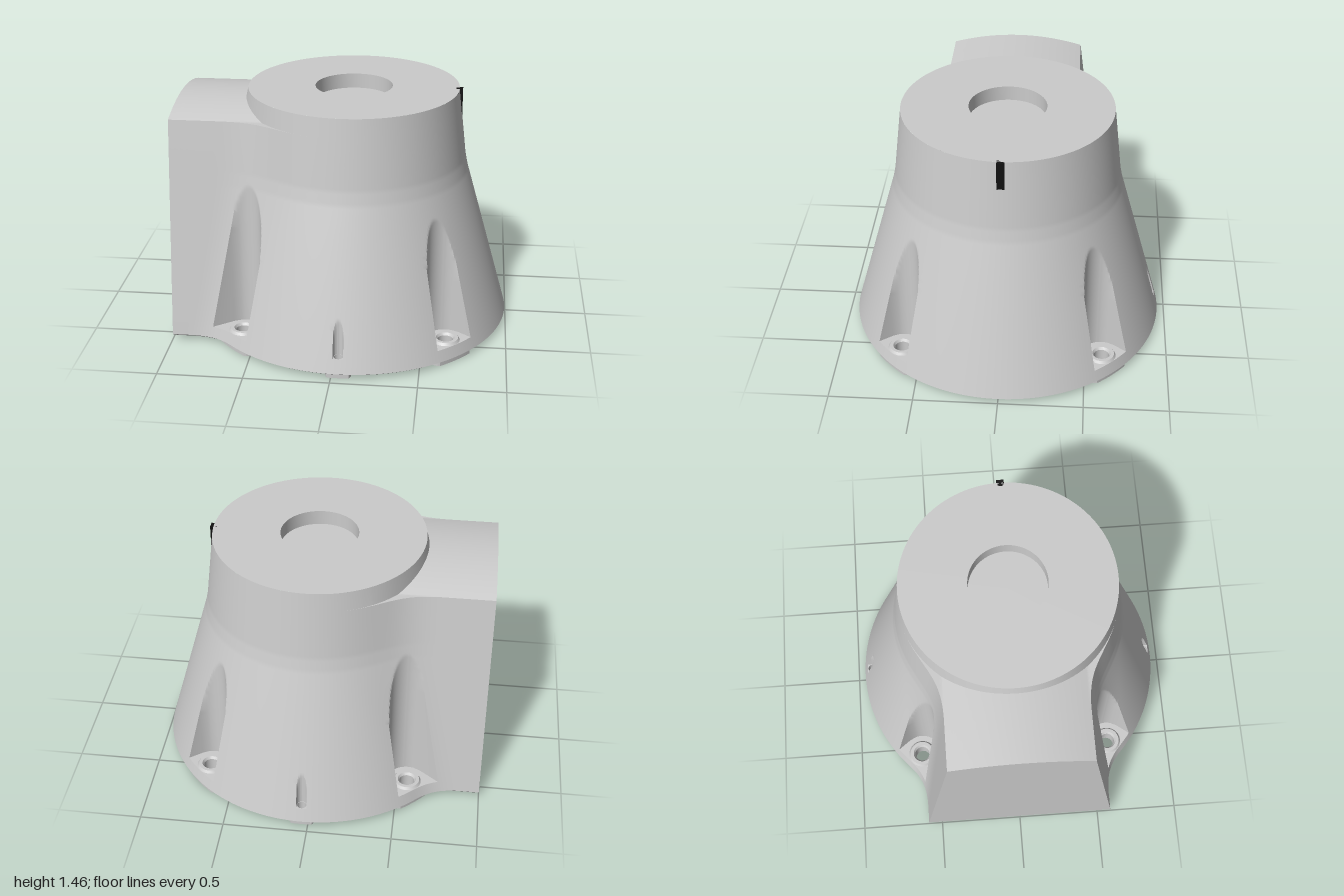
import * as THREE from 'three';
import { toCreasedNormals } from 'three/addons/utils/BufferGeometryUtils.js';

const CX = 0.04, BASE = 0.025, LEDGE = 1.34, TOP = 1.455, ARCH = 0.06;
const lerp = THREE.MathUtils.lerp;
const grey = new THREE.MeshStandardMaterial({ color: 0xcccccc });
const greyDouble = new THREE.MeshStandardMaterial({ color: 0xcccccc, side: THREE.DoubleSide });
const black = new THREE.MeshStandardMaterial({ color: 0x111111 });

// Vertical channels: angle from -x, distance from the axis, channel radius, floor height, bolt hole, foot radius
const bolt = (angle) => ({ angle, d: 0.85, r: 0.12, floor: 0.1, hole: 0.045, foot: 0.15 });
const pin = { angle: Math.PI / 2, d: 0.9, r: 0.03, floor: 0.115, hole: 0.027, foot: 0.075 };
const channels = [bolt(Math.PI / 4), pin, bolt(3 * Math.PI / 4)];

// Polar position around the body axis: angle 0 = -x, PI/2 = +z
const place = (a, r) => [CX - r * Math.cos(a), r * Math.sin(a)];

// Radius of the conical body
const cone = (y) => y < 0.96 ? lerp(0.957, 0.692, (y - BASE) / 0.935)
  : y < 1.04 ? lerp(0.692, 0.676, (y - 0.96) / 0.08) : lerp(0.676, 0.628, (y - 1.04) / (TOP - 1.04));
// Half width of the side housing and the angle of its outer corner
const halfWidth = (y) => lerp(0.585, 0.41, (y - BASE) / (LEDGE - BASE));
const corner = (y) => Math.atan2(halfWidth(Math.min(y, LEDGE)), 1 + CX);

// Cone and housing joined by a soft fillet
function outer(angle, y) {
  const a = Math.abs(angle), c = cone(y);
  if (a > Math.PI / 2) return c;
  const end = (1 + CX) / Math.cos(a);
  if (a <= corner(y) + 1e-6) return end;
  const side = halfWidth(y) / Math.sin(a), k = 0.15 + 0.05 * y;
  const h = Math.max(k - Math.abs(c - side), 0);
  return Math.min(end, Math.max(c, side) + h * h / (4 * k));
}

// Near wall of a channel along a ray
function channelWall(ch, angle) {
  const off = Math.abs(angle) - ch.angle, s = ch.d * Math.sin(off);
  return ch.d * Math.cos(off) - Math.sqrt(Math.max(0, ch.r * ch.r - s * s));
}

// Angular segments of one half, mirrored for the other
function makeSegments() {
  const half = [{ from: () => 0, to: corner, n: 14 }];
  let start = corner;
  for (const ch of channels) {
    const t = Math.asin(ch.r / ch.d), a = ch.angle - t, b = ch.angle + t;
    half.push({ from: start, to: () => a, n: 20 }, { from: () => a, to: () => b, n: ch === pin ? 12 : 28, ch });
    start = () => b;
  }
  half.push({ from: start, to: () => Math.PI, n: 18 });
  const mirrored = half.map((s) => ({ from: (y) => -s.to(y), to: (y) => -s.from(y), n: s.n, ch: s.ch })).reverse();
  return [...mirrored, ...half];
}
const columns = makeSegments().flatMap((s) => Array.from({ length: s.n + 1 }, (_, i) => ({
  ch: s.ch, last: i === s.n, angle: (y) => lerp(s.from(y), s.to(y), i / s.n),
})));

// Body skin: rows of rings, with the arched housing roof folded in
function bodyGeometry() {
  const rows = [];
  const wallRow = (y, inset = 0) => rows.push({ y, at: (col) => {
    const a = col.angle(y);
    let r = outer(a, y) - inset;
    if (col.ch && y > col.ch.floor + 1e-6) r = Math.min(r, channelWall(col.ch, a));
    const [x, z] = place(a, r);
    return [x, y, z];
  } });
  wallRow(BASE, 0.012);
  for (const y of [0.032, 0.045, 0.07, 0.1, 0.10005, 0.115, 0.11505]) wallRow(y);
  for (let i = 1; i <= 90; i++) wallRow(lerp(0.115, LEDGE, i / 90));
  for (let i = 0; i <= 8; i++) rows.push({ y: LEDGE, at: (col) => {
    const a = col.angle(LEDGE);
    const [x, z] = place(a, lerp(outer(a, LEDGE), cone(LEDGE), i / 8));
    const bump = Math.abs(a) < Math.PI / 2 ? ARCH * Math.max(0, 1 - (z / 0.41) ** 2) : 0;
    return [x, LEDGE + bump, z];
  } });
  rows.push({ y: TOP, at: (col) => {
    const [x, z] = place(col.angle(TOP), cone(TOP));
    return [x, TOP, z];
  } });

  const pos = [], index = [], w = columns.length;
  rows.forEach((row, j) => columns.forEach((col, i) => {
    pos.push(...row.at(col));
    if (j === rows.length - 1 || i === w - 1) return;
    // Channel floors are separate pieces
    if (col.ch && !col.last && Math.abs(row.y - col.ch.floor) < 1e-6) return;
    const a = j * w + i;
    index.push(a, a + 1, a + w, a + 1, a + w + 1, a + w);
  }));
  const g = new THREE.BufferGeometry();
  g.setAttribute('position', new THREE.Float32BufferAttribute(pos, 3));
  g.setIndex(index);
  return toCreasedNormals(g, 0.5);
}

// Flat shape in the x-z plane
const shapeOf = (pts) => new THREE.Shape(pts.map(([x, z]) => new THREE.Vector2(x, z)));
const circle = (x, z, r, n = 32) => Array.from({ length: n }, (_, i) =>
  [x + r * Math.cos(i / n * 2 * Math.PI), z + r * Math.sin(i / n * 2 * Math.PI)]);
const holePath = (x, z, r) => new THREE.Path(circle(x, z, r).map(([a, b]) => new THREE.Vector2(a, b)));

export function createModel() {
  const model = new THREE.Group();
  const add = (name, geometry, material = grey, y = 0) => {
    const mesh = new THREE.Mesh(geometry, material);
    mesh.name = name;
    mesh.position.y = y;
    model.add(mesh);
    return mesh;
  };
  add('bodyShell', bodyGeometry());

  // Top face with a shallow round recess
  const cap = [[0.628, TOP], [0.23, TOP], [0.23, TOP - 0.09], [0, TOP - 0.09]].map((p) => new THREE.Vector2(...p));
  add('topRecess', toCreasedNormals(new THREE.LatheGeometry(cap, 128), 0.5)).position.x = CX;

  // Underside, pierced by the bolt and pin holes
  const rim = columns.filter((c) => !c.last).map((c) => place(c.angle(BASE), outer(c.angle(BASE), BASE) - 0.012));
  const underside = shapeOf(rim);

  for (const ch of channels) for (const side of [1, -1]) {
    const [x, z] = place(ch.angle * side, ch.d);
    underside.holes.push(holePath(x, z, ch.hole));

    // Channel floor with its hole
    const t = Math.asin(ch.r / ch.d), inner = [], edge = [];
    for (let i = 0; i <= 28; i++) {
      const a = side * (ch.angle - t + 2 * t * i / 28);
      inner.push(place(a, channelWall(ch, a)));
      edge.unshift(place(a, outer(a, ch.floor)));
    }
    const floor = shapeOf([...inner, ...edge]);
    floor.holes.push(holePath(x, z, ch.hole));
    add('channelFloor', new THREE.ShapeGeometry(floor).rotateX(Math.PI / 2), greyDouble, ch.floor);

    // Hole wall
    const bore = add('holeWall', new THREE.CylinderGeometry(ch.hole, ch.hole, ch.floor, 32, 1, true), greyDouble, ch.floor / 2);
    bore.position.x = x;
    bore.position.z = z;

    // Raised seat around each bolt hole
    if (ch !== pin) {
      const seat = [[0.085, 0], [0.075, 0.015], [0.055, 0.015], [0.045, 0]].map((p) => new THREE.Vector2(...p));
      const ring = add('boltSeat', toCreasedNormals(new THREE.LatheGeometry(seat, 32), 0.4), grey, ch.floor);
      ring.position.x = x;
      ring.position.z = z;
    }

    // Foot pad trimmed to the body outline
    const pad = shapeOf(circle(x, z, ch.foot, 48).map(([px, pz]) => {
      const f = Math.min(1, 0.943 / Math.hypot(px - CX, pz));
      return [CX + (px - CX) * f, pz * f];
    }));
    pad.holes.push(holePath(x, z, ch.hole));
    add('footPad', new THREE.ExtrudeGeometry(pad, { depth: BASE, bevelEnabled: false }).rotateX(Math.PI / 2), grey, BASE);
  }
  add('underside', new THREE.ShapeGeometry(underside).rotateX(Math.PI / 2), greyDouble, BASE);

  // Dark index mark on the left flank
  add('indexMark', new THREE.BoxGeometry(0.04, 0.175, 0.045), black, 1.3675).position.x = 0.667;
  return model;
}
